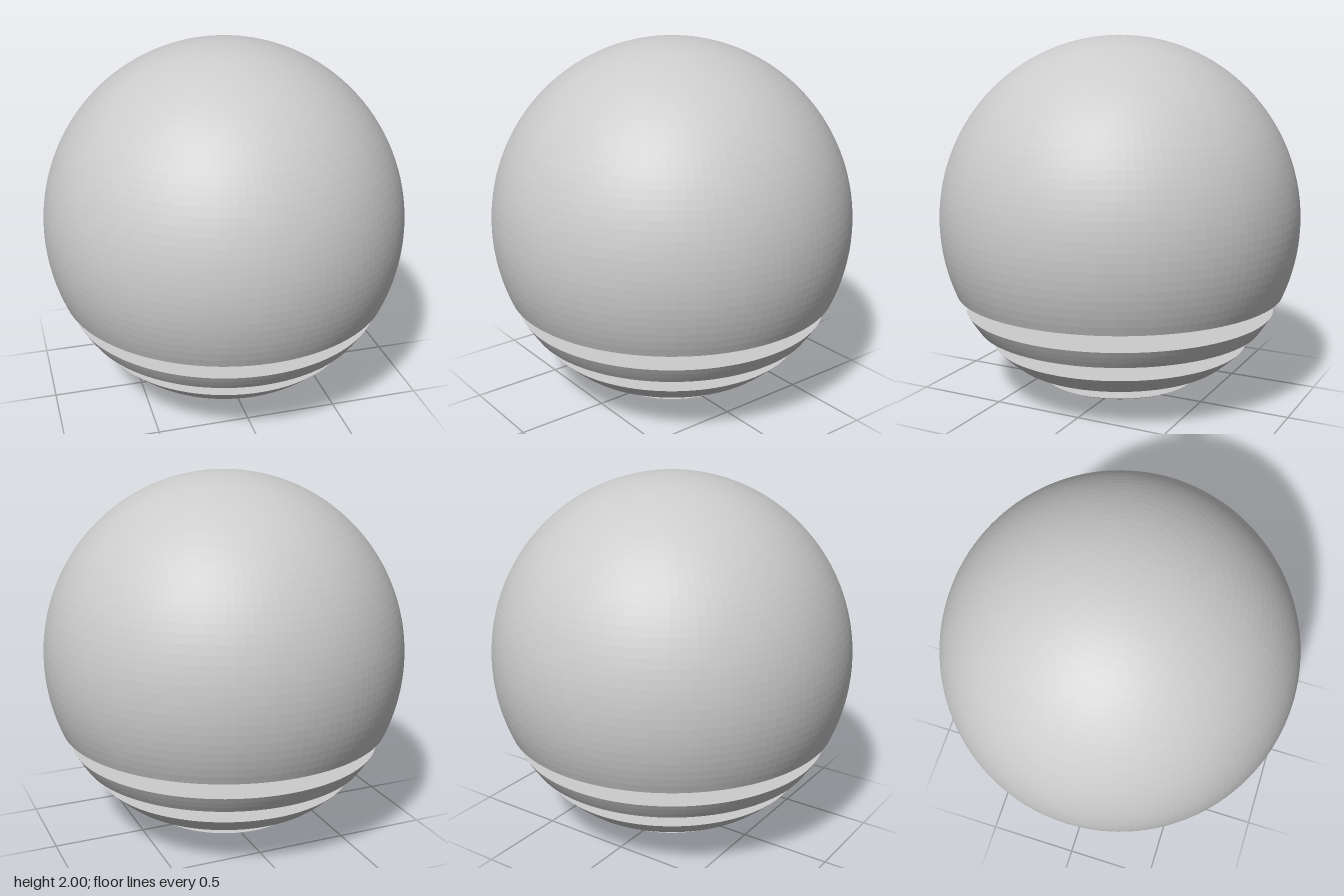
import * as THREE from 'three';

const RADIUS = 0.99;   // horizontal radius
const HALF = 1;        // vertical half height
const SEGMENTS = 128;

// Solid slice of the ball between two heights, with flat ends
function ballSlice(name, y0, y1, material) {
  const a0 = Math.asin(y0 / HALF - 1);
  const a1 = Math.asin(y1 / HALF - 1);
  const steps = Math.max(3, Math.ceil((a1 - a0) / (Math.PI / 64)));
  const profile = [];
  if (y0 > 0) profile.push(new THREE.Vector2(0, y0));
  for (let i = 0; i <= steps; i++) {
    const a = a0 + (a1 - a0) * i / steps;
    profile.push(new THREE.Vector2(Math.max(0, RADIUS * Math.cos(a)), HALF * (1 + Math.sin(a))));
  }
  if (y1 < 2 * HALF) profile.push(new THREE.Vector2(0, y1));
  const mesh = new THREE.Mesh(new THREE.LatheGeometry(profile, SEGMENTS), material);
  mesh.name = name;
  return mesh;
}

export function createModel() {
  const group = new THREE.Group();
  group.name = 'slicedBall';
  const material = new THREE.MeshStandardMaterial({ color: 0xcccccc, flatShading: true });

  // Large dome, two floating bands and the bottom cap, separated by gaps
  const slices = [
    ['dome', 0.604, 2],
    ['upperBand', 0.404, 0.503],
    ['lowerBand', 0.203, 0.304],
    ['bottomCap', 0, 0.102],
  ];
  for (const [name, y0, y1] of slices) group.add(ballSlice(name, y0, y1, material));
  return group;
}
